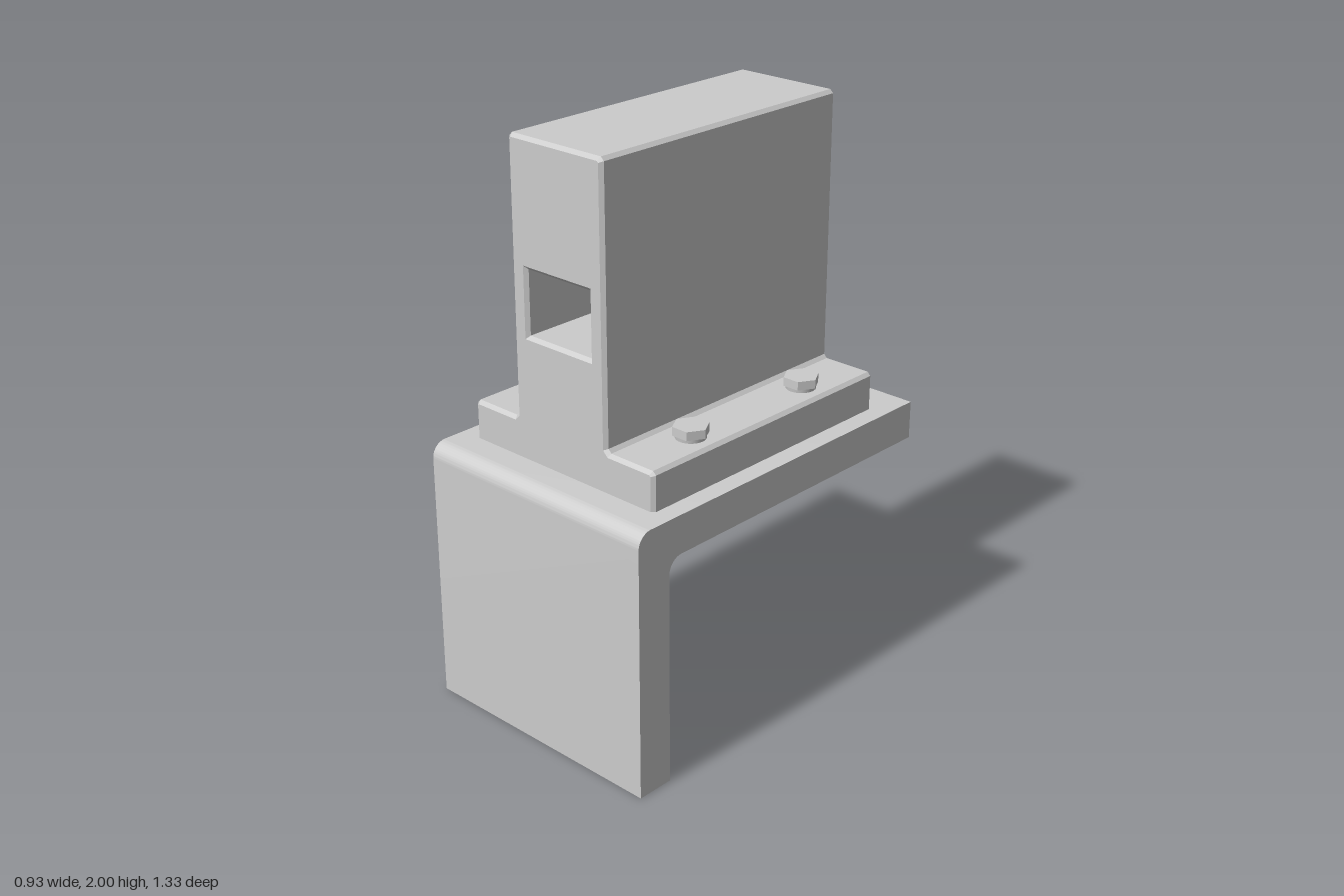
import * as THREE from 'three';
import { toCreasedNormals } from 'three/addons/utils/BufferGeometryUtils.js';

const material = new THREE.MeshStandardMaterial({ color: 0xcccccc });

function addMesh(parent, name, geometry, x = 0, y = 0, z = 0) {
  const mesh = new THREE.Mesh(geometry, material);
  mesh.name = name;
  mesh.position.set(x, y, z);
  parent.add(mesh);
  return mesh;
}

// L-shaped plate: side profile in (z, y), extruded across x
function bracketGeometry() {
  const half = 0.667, top = 0.933, t = 0.133, r = 0.053, width = 0.934;
  const s = new THREE.Shape();
  s.moveTo(half - t, 0);
  s.lineTo(half, 0);
  s.lineTo(half, top - r);
  s.absarc(half - r, top - r, r, 0, Math.PI / 2, false);
  s.lineTo(-half, top);
  s.lineTo(-half, top - t);
  s.lineTo(half - t - r, top - t);
  s.absarc(half - t - r, top - t - r, r, Math.PI / 2, 0, true);
  s.closePath();
  const g = new THREE.ExtrudeGeometry(s, { depth: width, bevelEnabled: false, curveSegments: 12 });
  g.translate(0, 0, -width / 2);
  g.rotateY(-Math.PI / 2);
  return toCreasedNormals(g, 0.5);
}

// Inverted T with chamfered edges and a rectangular hole along z
function blockGeometry() {
  const c = 0.012, length = 1.066;
  const right = [
    [0.4, 0.915], [0.4, 1.067 - c], [0.4 - c, 1.067],
    [0.2 + c, 1.067], [0.2, 1.067 + c], [0.2, 2 - c], [0.2 - c, 2],
  ];
  const left = right.map(([x, y]) => [-x, y]).reverse();
  const toPoints = (list) => list.map(([x, y]) => new THREE.Vector2(x, y));
  const s = new THREE.Shape(toPoints([...right, ...left]));
  s.holes.push(new THREE.Path(toPoints([
    [-0.135, 1.36], [-0.135, 1.578], [0.135, 1.578], [0.135, 1.36],
  ])));
  const g = new THREE.ExtrudeGeometry(s, {
    depth: length - 2 * c, bevelEnabled: true, bevelSegments: 1,
    bevelThickness: c, bevelSize: c, bevelOffset: -c,
  });
  g.translate(0, 0, -length / 2 + c);
  return g;
}

export function createModel() {
  const model = new THREE.Group();
  model.name = 'mountedBlock';

  addMesh(model, 'angleBracket', bracketGeometry());
  addMesh(model, 'block', blockGeometry());

  // Solid filling behind the front pocket
  const back = -0.533, pocketFloor = 0.26;
  addMesh(model, 'pocketBack', new THREE.BoxGeometry(0.294, 0.242, pocketFloor - back),
    0, 1.469, (pocketFloor + back) / 2);

  // Hex bolts, corners pointing along x
  const head = new THREE.CylinderGeometry(0.061, 0.061, 0.03, 6).toNonIndexed();
  head.rotateY(Math.PI / 6);
  head.computeVertexNormals();
  const collar = new THREE.CylinderGeometry(0.052, 0.05, 0.016, 32);
  for (const x of [-0.307, 0.307]) {
    for (const z of [-0.267, 0.267]) {
      const bolt = new THREE.Group();
      bolt.name = 'bolt';
      bolt.position.set(x, 1.067, z);
      addMesh(bolt, 'boltCollar', collar, 0, 0.007, 0);
      addMesh(bolt, 'boltHead', head, 0, 0.028, 0);
      model.add(bolt);
    }
  }
  return model;
}
